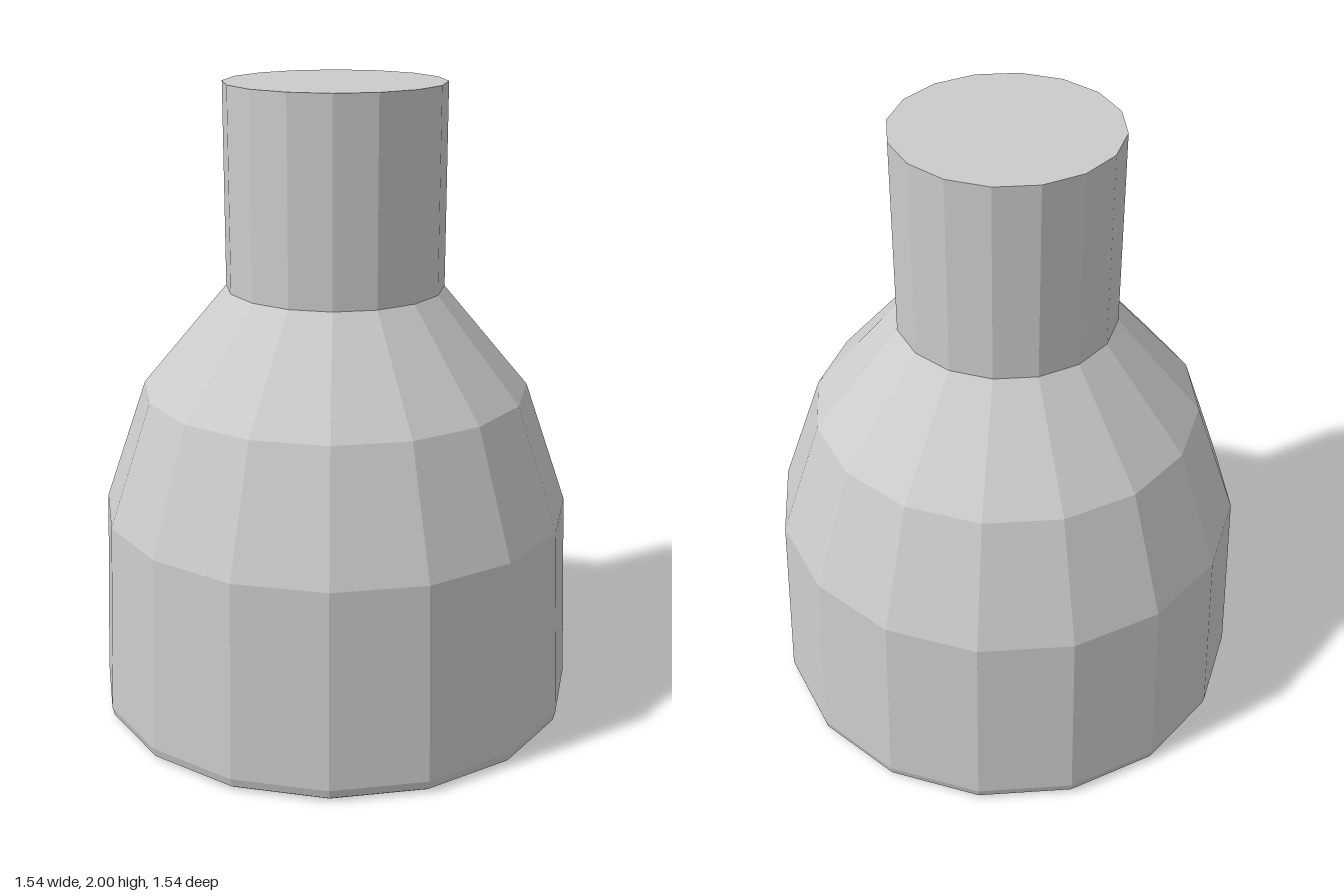
import * as THREE from 'three';

const SIDES = 16;

export function createModel() {
  const model = new THREE.Group();
  const material = new THREE.MeshStandardMaterial({ color: 0xcccccc, flatShading: true });

  // Turned part from [radius, height] pairs
  function turned(name, profile) {
    const points = profile.map(([r, y]) => new THREE.Vector2(r, y));
    const mesh = new THREE.Mesh(new THREE.LatheGeometry(points, SIDES), material);
    mesh.name = name;
    model.add(mesh);
  }

  // Bell body: recess ceiling, sloped recess wall, flat rim, beveled foot, shoulders
  turned('body', [
    [0.285, 0.22], [0.43, 0.22], [0.585, 0], [0.745, 0], [0.763, 0.012], [0.77, 0.04],
    [0.745, 0.66], [0.61, 1.05], [0.342, 1.37],
  ]);

  // Capped cylindrical neck
  turned('neck', [[0.342, 1.37], [0.342, 2], [0, 2]]);

  // Tapered stud inside the recess, widening upward
  turned('innerStud', [[0, 0], [0.212, 0], [0.228, 0.012], [0.235, 0.04], [0.285, 0.22]]);

  return model;
}
